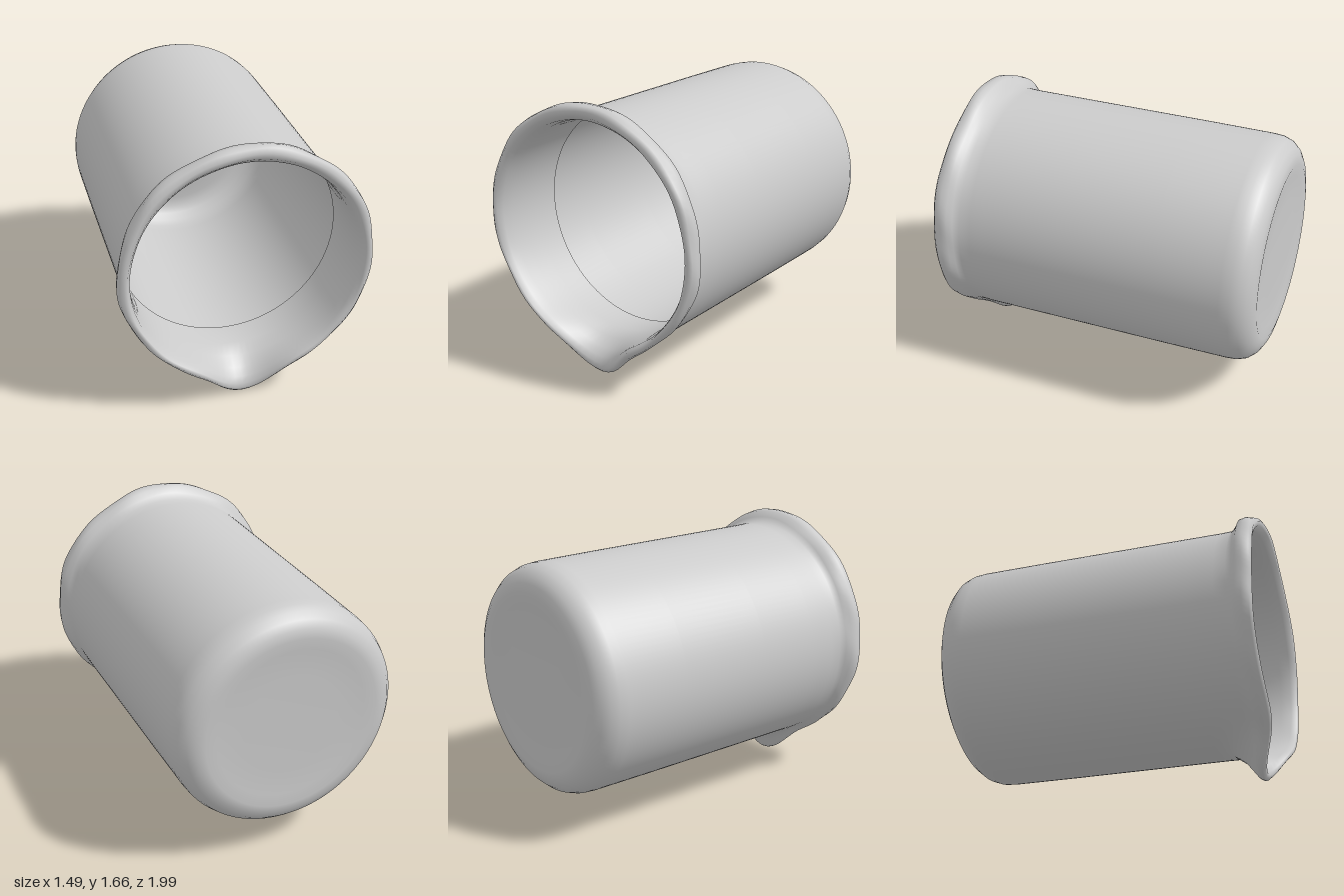
import * as THREE from 'three';

const AXIS_Y = 0.895; // height of the lying cylinder's axis
const SIDES = 120;

// Profile rings: [radius, z, rim flare weight, spout reach, spout z shift]
const PROFILE = [
  // closed base with a slightly dished disc
  [0, -0.98, 0, 0, 0], [0.3, -0.98, 0, 0, 0], [0.47, -0.985, 0, 0, 0],
  [0.54, -0.997, 0, 0, 0], [0.595, -0.985, 0, 0, 0], [0.64, -0.96, 0, 0, 0],
  [0.675, -0.92, 0, 0, 0], [0.693, -0.87, 0, 0, 0], [0.698, -0.81, 0, 0, 0],
  // outer wall
  [0.7, -0.4, 0, 0, 0], [0.7, 0.2, 0, 0, 0], [0.7, 0.6, 0, 0, 0],
  [0.7, 0.68, 0, 0.005, 0], [0.7, 0.76, 0, 0.07, 0], [0.7, 0.83, 0.1, 0.14, -0.02],
  // rolled rim
  [0.715, 0.865, 0.6, 0.175, -0.03], [0.738, 0.89, 1, 0.175, -0.04],
  [0.746, 0.93, 1, 0.172, -0.065], [0.738, 0.97, 1, 0.165, -0.09],
  [0.718, 0.988, 0.8, 0.16, -0.1], [0.695, 0.98, 0.5, 0.15, -0.1],
  [0.676, 0.945, 0.2, 0.12, -0.08],
  // inner lining behind the lip
  [0.668, 0.88, 0, 0.085, -0.06], [0.665, 0.8, 0, 0.04, -0.04],
  [0.665, 0.68, 0, 0, 0], [0.67, 0.5, 0, 0, 0],
];

function createBeakerGeometry() {
  const positions = [];
  const index = [];
  PROFILE.forEach(([radius, z, flare, reach, shift], i) => {
    for (let j = 0; j < SIDES; j++) {
      const a = (j / SIDES) * Math.PI * 2; // 0 is the top, PI the spout
      const spout = Math.exp(-(((a - Math.PI) / 0.28) ** 2));
      // rim stands out more at the top and is slightly uneven by hand
      const wobble = 0.004 * Math.sin(7 * a + 1) + 0.003 * Math.sin(13 * a + i);
      const r = radius + flare * (0.03 * Math.cos(a) + wobble * (1 - spout)) + reach * spout;
      const dz = flare * 0.005 * Math.sin(5 * a + 2) * (1 - spout);
      positions.push(r * Math.sin(a), AXIS_Y + r * Math.cos(a), z + shift * spout + dz);
      if (i < PROFILE.length - 1) {
        const k = (j + 1) % SIDES;
        const p = i * SIDES + j, q = i * SIDES + k;
        const s = p + SIDES, t = q + SIDES;
        if (i > 0) index.push(p, s, q);
        index.push(q, s, t);
      }
    }
  });
  const geometry = new THREE.BufferGeometry();
  geometry.setAttribute('position', new THREE.Float32BufferAttribute(positions, 3));
  geometry.setIndex(index);
  geometry.computeVertexNormals();
  // the pole ring shares one flat normal
  for (let j = 0; j < SIDES; j++) geometry.attributes.normal.setXYZ(j, 0, 0, -1);
  return geometry;
}

export function createModel() {
  const group = new THREE.Group();
  group.name = 'spoutedBeaker';
  const material = new THREE.MeshStandardMaterial({ color: 0xcccccc, side: THREE.DoubleSide });
  const beaker = new THREE.Mesh(createBeakerGeometry(), material);
  beaker.name = 'beakerBodyWithSpout';
  group.add(beaker);
  return group;
}
